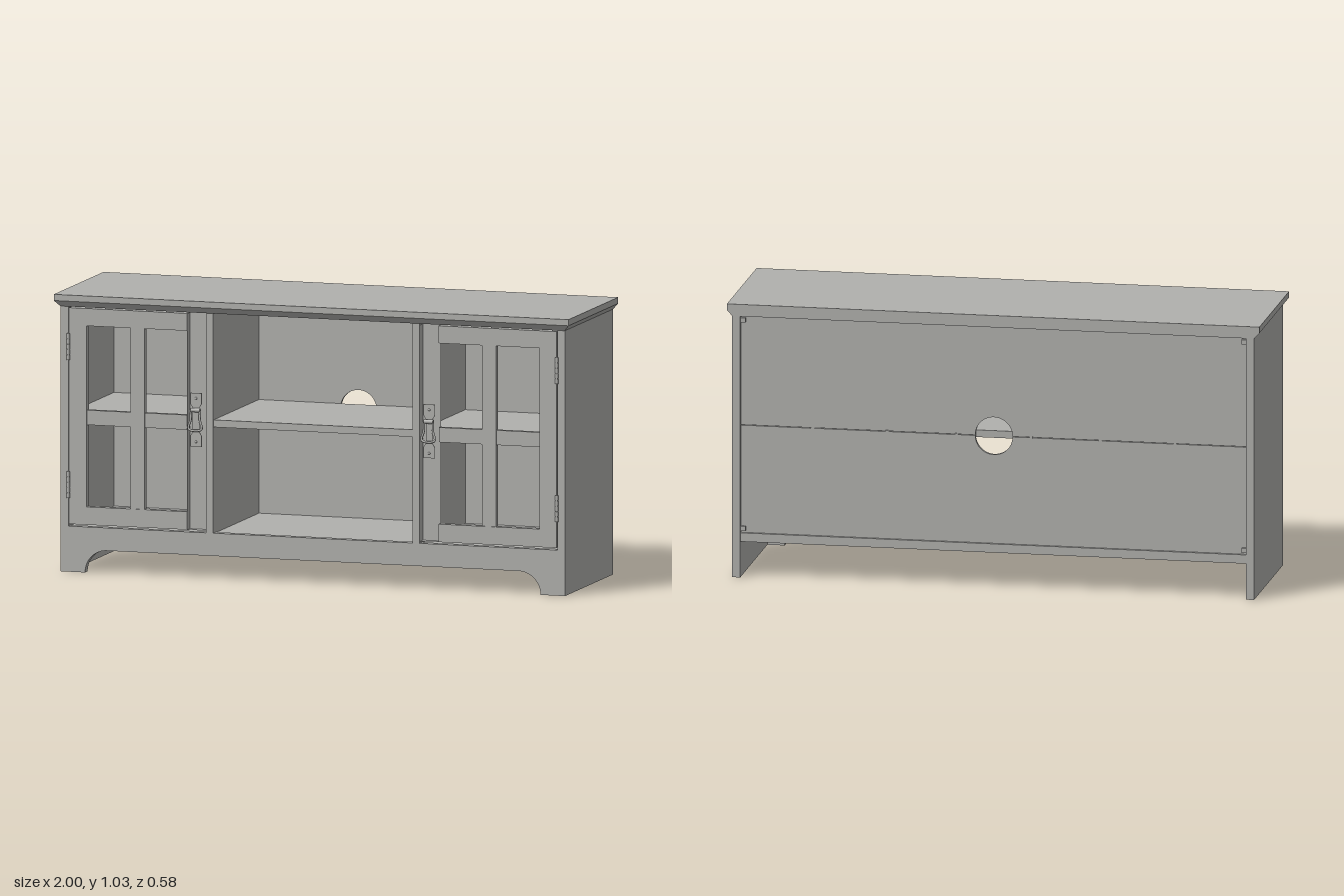
import * as THREE from 'three';

const grey = new THREE.MeshStandardMaterial({ color: 0xb0b0ad });
grey.name = 'grey';

export function createModel() {
  const model = new THREE.Group();
  model.name = 'mediaCabinet';

  const add = (name, geometry, parent = model) => {
    const mesh = new THREE.Mesh(geometry, grey);
    mesh.name = name;
    parent.add(mesh);
    return mesh;
  };
  // Box given by its limits on each axis
  const box = (name, [x0, x1], [y0, y1], [z0, z1], parent = model) => {
    const mesh = add(name, new THREE.BoxGeometry(x1 - x0, y1 - y0, z1 - z0), parent);
    mesh.position.set((x0 + x1) / 2, (y0 + y1) / 2, (z0 + z1) / 2);
    return mesh;
  };
  // Flat shape in x and y, given depth from z0 to z1
  const plate = (name, shape, z0, z1, parent = model) => {
    const geometry = new THREE.ExtrudeGeometry(shape, {
      depth: z1 - z0, bevelEnabled: false, curveSegments: 20,
    });
    const mesh = add(name, geometry, parent);
    mesh.position.z = z0;
    return mesh;
  };

  // Top: square upper edge, with a lower lip sloping in at front and sides
  box('topSlab', [-1, 1], [1.012, 1.035], [-0.29, 0.295]);
  const lip = new THREE.BoxGeometry(2, 0.022, 0.585);
  const p = lip.attributes.position;
  for (let i = 0; i < p.count; i++) {
    if (p.getY(i) < 0) {
      p.setX(i, Math.sign(p.getX(i)) * 0.98);
      if (p.getZ(i) > 0) p.setZ(i, p.getZ(i) - 0.016);
    }
  }
  const flat = lip.toNonIndexed();
  flat.computeVertexNormals();
  add('topLip', flat).position.set(0, 1.001, 0.0025);

  // Carcass
  box('bottomPanel', [-0.95, 0.95], [0.135, 0.168], [-0.285, 0.246]);
  box('middleShelf', [-0.387, 0.387], [0.565, 0.592], [-0.262, 0.27]);
  for (const s of [-1, 1]) {
    const span = (a, b) => (s > 0 ? [a, b] : [-b, -a]);
    box('sidePanel', span(0.95, 0.98), [0, 0.99], [-0.29, 0.275]);
    box('divider', span(0.387, 0.415), [0.168, 0.99], [-0.262, 0.275]);
    box('sideShelf', span(0.415, 0.95), [0.565, 0.592], [-0.262, 0.235]);
    for (const y of [0.175, 0.965]) {
      box('backCornerBlock', span(0.932, 0.95), [y, y + 0.018], [-0.284, -0.275]);
    }
  }

  // Front apron with a rounded cutout between the feet
  const apron = new THREE.Shape();
  apron.moveTo(-0.95, 0);
  apron.lineTo(-0.885, 0);
  apron.absarc(-0.8, 0, 0.085, Math.PI, Math.PI / 2, true);
  apron.lineTo(0.8, 0.085);
  apron.absarc(0.8, 0, 0.085, Math.PI / 2, 0, true);
  apron.lineTo(0.95, 0);
  apron.lineTo(0.95, 0.17);
  apron.lineTo(-0.95, 0.17);
  plate('frontApron', apron, 0.245, 0.275);

  // Back in two boards, each with half of the cable hole
  const holeY = 0.575, holeR = 0.07;
  const lower = new THREE.Shape();
  lower.moveTo(-0.95, 0.168);
  lower.lineTo(0.95, 0.168);
  lower.lineTo(0.95, holeY - 0.001);
  lower.lineTo(holeR, holeY - 0.001);
  lower.absarc(0, holeY - 0.001, holeR, 0, -Math.PI, true);
  lower.lineTo(-0.95, holeY - 0.001);
  plate('lowerBackBoard', lower, -0.275, -0.262);
  const upper = new THREE.Shape();
  upper.moveTo(-0.95, holeY + 0.001);
  upper.lineTo(-holeR, holeY + 0.001);
  upper.absarc(0, holeY + 0.001, holeR, Math.PI, 0, true);
  upper.lineTo(0.95, holeY + 0.001);
  upper.lineTo(0.95, 0.99);
  upper.lineTo(-0.95, 0.99);
  plate('upperBackBoard', upper, -0.275, -0.262);
  for (const x of [-0.68, -0.4, -0.14, 0.14, 0.4, 0.68]) {
    box('backSeamClip', [x - 0.006, x + 0.006], [holeY - 0.004, holeY + 0.004], [-0.277, -0.274]);
  }

  // Pull: pinched backplate, screws, pivot and a hanging bail
  const addPull = (door, x) => {
    const pull = new THREE.Group();
    pull.name = 'pull';
    pull.position.set(x, 0.59, 0.275);
    door.add(pull);
    const outline = [[0.022, -0.1], [0.022, -0.06], [0.013, -0.045],
      [0.013, 0.045], [0.022, 0.06], [0.022, 0.1]];
    const back = new THREE.Shape([
      ...outline, ...outline.map(([a, b]) => [-a, b]).reverse(),
    ].map(([a, b]) => new THREE.Vector2(a, b)));
    plate('backplate', back, 0, 0.003, pull);
    for (const y of [-0.082, 0.08]) {
      add('screw', new THREE.SphereGeometry(0.005, 12, 8), pull).position.set(0, y, 0.002);
    }
    const pivot = add('pivot', new THREE.CylinderGeometry(0.008, 0.008, 0.036, 16), pull);
    pivot.rotation.z = Math.PI / 2;
    pivot.position.set(0, 0.037, 0.008);
    const bail = new THREE.CatmullRomCurve3([
      [-0.014, 0.037, 0.009], [-0.018, 0, 0.012], [-0.026, -0.03, 0.014], [-0.018, -0.037, 0.015],
      [0.018, -0.037, 0.015], [0.026, -0.03, 0.014], [0.018, 0, 0.012], [0.014, 0.037, 0.009],
    ].map((v) => new THREE.Vector3(...v)), true, 'centripetal');
    add('bail', new THREE.TubeGeometry(bail, 48, 0.0045, 8, true), pull);
  };

  // Open-framed doors with crossed bars, hinges and a pull
  for (const s of [-1, 1]) {
    const door = new THREE.Group();
    door.name = s > 0 ? 'leftDoor' : 'rightDoor';
    model.add(door);
    const span = (a, b) => (s > 0 ? [a, b] : [-b, -a]);
    const z = [0.245, 0.275];
    box('outerStile', span(0.88, 0.947), [0.178, 0.985], z, door);
    box('innerStile', span(0.488, 0.418), [0.178, 0.985], z, door).scale.x = -1;
    box('topRail', span(0.488, 0.88), [0.92, 0.985], [0.246, 0.274], door);
    box('bottomRail', span(0.488, 0.88), [0.178, 0.245], [0.246, 0.274], door);
    box('uprightBar', span(0.655, 0.711), [0.245, 0.92], [0.249, 0.27], door);
    for (const [a, b] of [[0.488, 0.655], [0.711, 0.88]]) {
      box('crossBar', span(a, b), [0.55, 0.605], [0.249, 0.269], door);
    }
    for (const y of [0.325, 0.84]) {
      for (let i = -2; i <= 2; i++) {
        const knuckle = add('hingeKnuckle', new THREE.CylinderGeometry(0.006, 0.006, 0.0185, 12), door);
        knuckle.position.set(s * 0.949, y + i * 0.02, 0.278);
      }
      box('hingePin', span(0.946, 0.952), [y - 0.05, y + 0.05], [0.275, 0.281], door);
    }
    addPull(door, s * 0.453);
  }
  return model;
}
